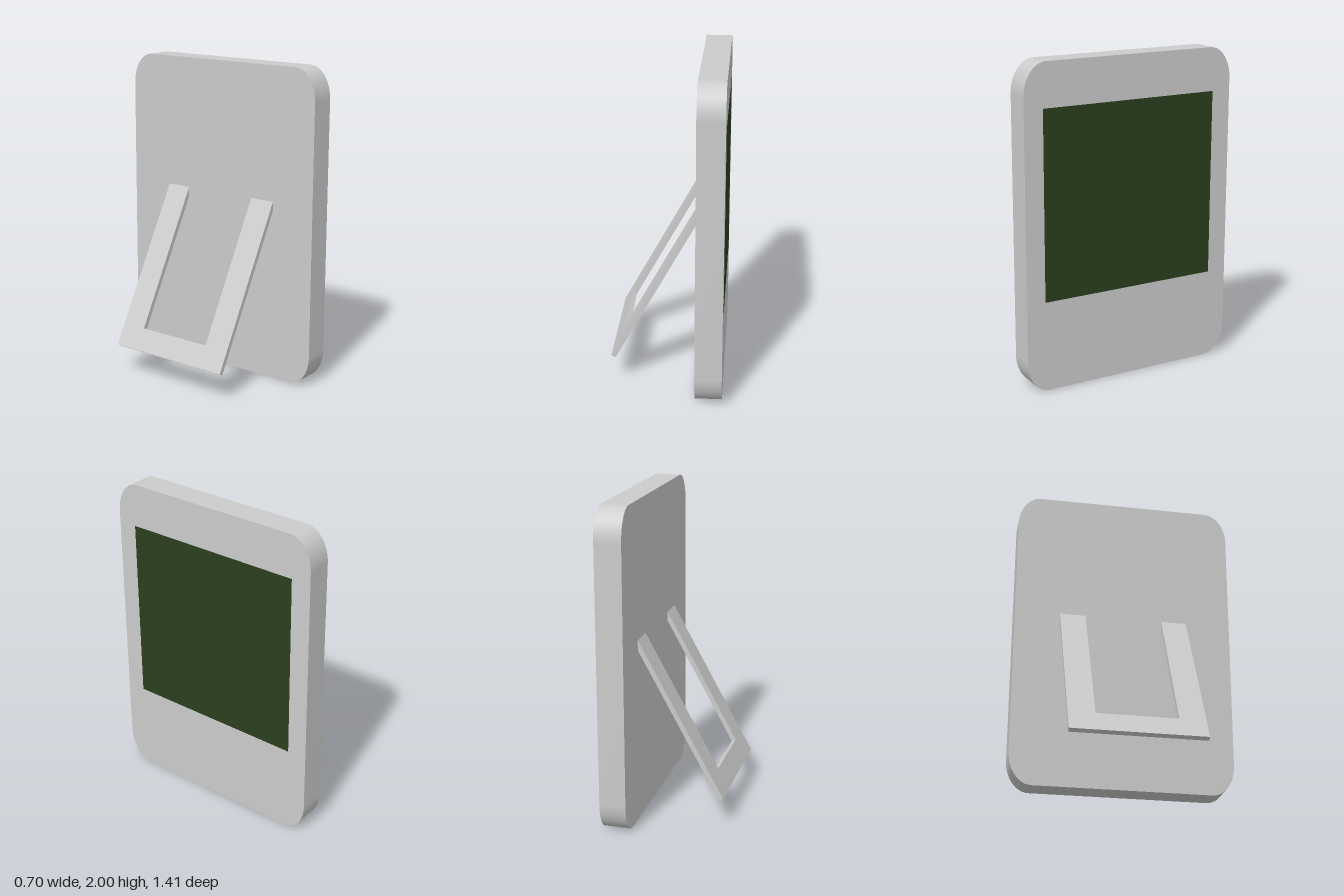
import * as THREE from 'three';
import { toCreasedNormals } from 'three/addons/utils/BufferGeometryUtils.js';

const BACK = 0.18, FRONT = 0.345; // x extent of the housing

// Upright slab outline with elliptical corners (width along z, height along y)
function housingShape(hw, h, rx, ry) {
  const s = new THREE.Shape();
  const corners = [[hw - rx, ry, -0.5], [hw - rx, h - ry, 0], [rx - hw, h - ry, 0.5], [rx - hw, ry, 1]];
  s.moveTo(hw - rx, 0);
  for (const [cx, cy, a] of corners) {
    s.absellipse(cx, cy, rx, ry, a * Math.PI, (a + 0.5) * Math.PI, false, 0);
  }
  s.closePath();
  return s;
}

function addMesh(group, name, geometry, color) {
  const mesh = new THREE.Mesh(geometry, new THREE.MeshStandardMaterial({ color }));
  mesh.name = name;
  group.add(mesh);
  return mesh;
}

export function createModel() {
  const model = new THREE.Group();
  model.name = 'desktopDisplay';

  // Housing, its face towards +x
  const housing = new THREE.ExtrudeGeometry(housingShape(0.706, 2, 0.146, 0.2), {
    depth: FRONT - BACK, bevelEnabled: false, curveSegments: 16,
  });
  housing.rotateY(Math.PI / 2).translate(BACK, 0, 0);
  addMesh(model, 'housing', toCreasedNormals(housing, 0.5), 0xcccccc);

  // Screen, a flat panel on the face
  const screen = new THREE.PlaneGeometry(1.166, 1.166);
  screen.rotateY(Math.PI / 2).translate(FRONT + 0.001, 1.147, 0.002);
  addMesh(model, 'screen', screen, 0x2a3f1e);

  // Folding stand: a U frame drawn flat, then leaned against the back
  const outer = 0.415, inner = 0.25, bar = 0.146, length = 1.15;
  const frame = new THREE.Shape([
    [-outer, 0], [outer, 0], [outer, length], [inner, length],
    [inner, bar], [-inner, bar], [-inner, length], [-outer, length],
  ].map(([x, y]) => new THREE.Vector2(x, y)));
  const stand = new THREE.ExtrudeGeometry(frame, { depth: 0.03, bevelEnabled: false });
  const along = new THREE.Vector3(0.535, 0.975, 0).normalize();
  const normal = new THREE.Vector3(along.y, -along.x, 0);
  const across = new THREE.Vector3(0, 0, -1);
  stand.applyMatrix4(new THREE.Matrix4().makeBasis(across, along, normal));
  stand.translate(-0.354, 0.184, 0);
  addMesh(model, 'stand', stand, 0xcccccc);

  return model;
}
